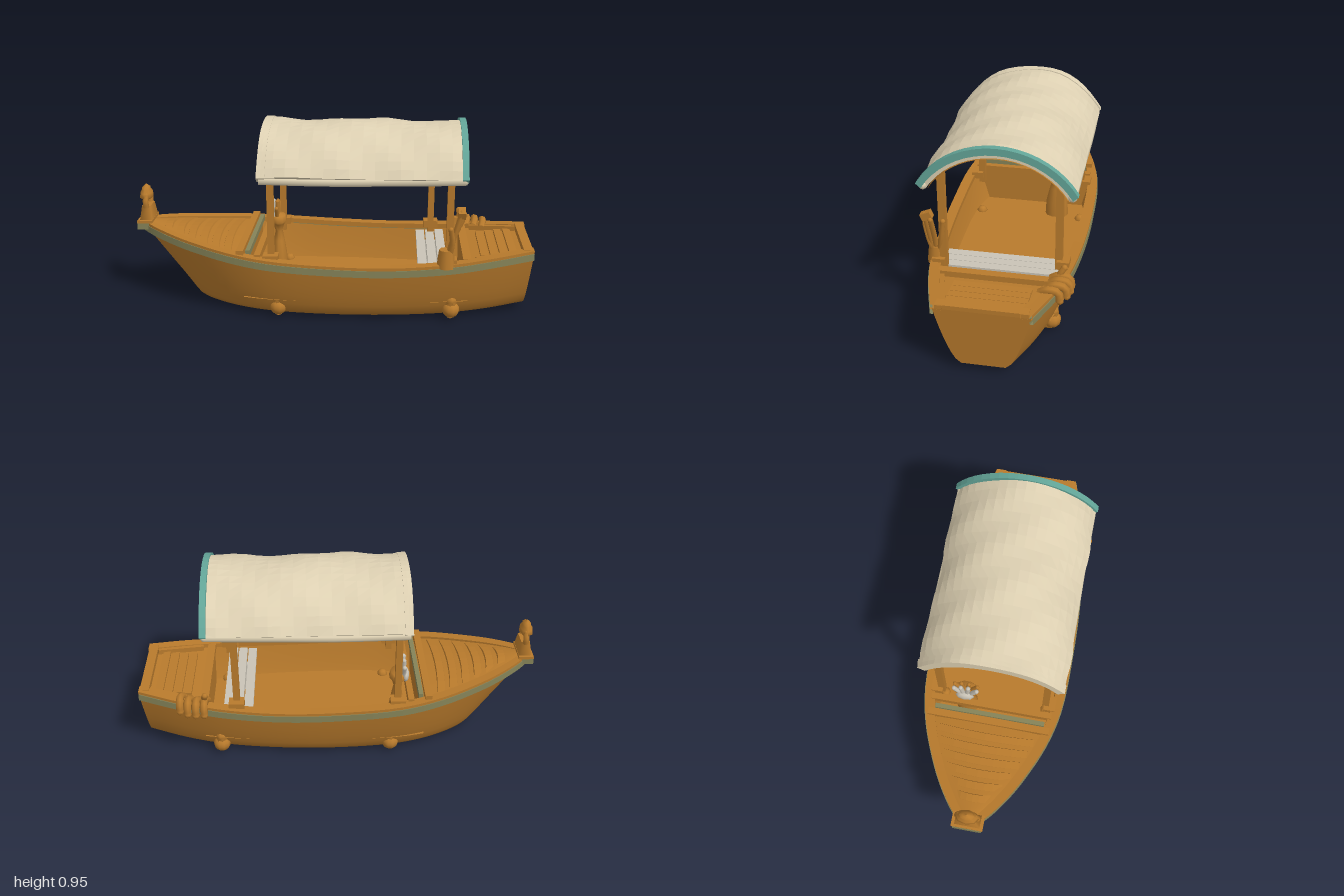
import * as THREE from 'three';

const mat = (name, color) => new THREE.MeshStandardMaterial({ name, color, side: THREE.DoubleSide });

// Surface through rows of points; flat gives faceted shading
function loft(rows, { closed = false, flat = false } = {}) {
  const n = rows[0].length, pos = rows.flat(2), idx = [];
  for (let i = 0; i < rows.length - 1; i++) {
    for (let j = 0; j < (closed ? n : n - 1); j++) {
      const a = i * n + j, b = i * n + (j + 1) % n, c = a + n, d = b + n;
      idx.push(a, c, b, b, c, d);
    }
  }
  let g = new THREE.BufferGeometry();
  g.setAttribute('position', new THREE.Float32BufferAttribute(pos, 3));
  g.setIndex(idx);
  if (flat) g = g.toNonIndexed();
  g.computeVertexNormals();
  return g;
}

// Hull stations: sheer x, y, half width, then bottom x, y, half width
const STATIONS = [
  [-.965, .39, .03, -.71, .045, .01],
  [-.9, .38, .09, -.68, .035, .06],
  [-.8, .365, .16, -.64, .03, .1],
  [-.7, .35, .215, -.58, .025, .14],
  [-.5, .325, .3, -.45, .02, .2],
  [-.3, .305, .347, -.28, .018, .245],
  [0, .288, .358, 0, .016, .265],
  [.3, .283, .35, .3, .016, .255],
  [.6, .298, .32, .58, .02, .22],
  [.8, .318, .275, .78, .028, .17],
  [.995, .338, .215, .972, .04, .1],
];
const line = (k) => new THREE.CatmullRomCurve3(STATIONS.map((s) => new THREE.Vector3(s[k], s[k + 1], s[k + 2]))).getPoints;
const sample = (k) => {
  const c = new THREE.CatmullRomCurve3(STATIONS.map((s) => new THREE.Vector3(s[k], s[k + 1], s[k + 2])));
  return Array.from({ length: 41 }, (_, i) => c.getPoint(i / 40));
};

export function createModel() {
  const boat = new THREE.Group();
  boat.name = 'canopyBoat';
  const wood = mat('warmWood', 0xb87a2c), cream = mat('creamCloth', 0xddd0b2), teal = mat('tealTrim', 0x63a598);
  const olive = mat('oliveTrim', 0x858358), pale = mat('paleWood', 0xc9c3b6);

  const add = (name, geo, m, x = 0, y = 0, z = 0) => {
    const mesh = new THREE.Mesh(geo, m);
    mesh.name = name;
    mesh.position.set(x, y, z);
    boat.add(mesh);
    return mesh;
  };
  const box = (name, m, w, h, d, x, y, z) => add(name, new THREE.BoxGeometry(w, h, d), m, x, y, z);
  const limb = (name, m, r, ...pts) => {
    const curve = new THREE.CatmullRomCurve3(pts.map((p) => new THREE.Vector3(...p)));
    add(name, new THREE.TubeGeometry(curve, 8, r, 7), m);
    add(name + 'Tip', new THREE.SphereGeometry(r, 7, 5), m, ...pts[pts.length - 1]);
  };

  // Hull
  const sheer = sample(0), base = sample(3);
  const side = (i, v, sign) => {
    const s = sheer[i], b = base[i];
    return [b.x + (s.x - b.x) * v, b.y + (s.y - b.y) * v, sign * (b.z + (s.z - b.z) * v ** .6)];
  };
  const levels = [1, .8, .6, .4, .22, .08, 0];
  const ring = (i) => [...levels.map((v) => side(i, v, 1)), ...levels.slice().reverse().map((v) => side(i, v, -1))];
  add('hull', loft(sheer.map((_, i) => ring(i))), wood);
  const endPlate = (i) => loft([levels.map((v) => side(i, v, 1)), levels.map((v) => side(i, v, -1))], { flat: true });
  add('transom', endPlate(40), wood);
  add('stem', endPlate(0), wood);

  // Gunwale with its coloured outer strip, both sides
  const band = (s, sign, z0, z1, y0, y1) => [[z0, y0], [z1, y0], [z1, y1], [z0, y1]]
    .map(([z, y]) => [s.x, s.y + y, sign * Math.max(0, s.z + z)]);
  for (const sign of [1, -1]) {
    add('gunwale', loft(sheer.map((s) => band(s, sign, -.045, .006, -.006, .018)), { closed: true, flat: true }), wood);
    add('rubStrip', loft(sheer.map((s) => band(s, sign, -.005, .01, -.03, .004)), { closed: true, flat: true }), olive);
  }

  // Sheer values at any x
  const at = (x) => {
    const i = Math.max(1, sheer.findIndex((s) => s.x >= x));
    const a = sheer[i - 1], b = sheer[i];
    return a.clone().lerp(b, (x - a.x) / (b.x - a.x));
  };
  const range = (a, b, n) => Array.from({ length: n + 1 }, (_, i) => a + (b - a) * i / n);

  // Decks, bulkheads and cockpit floor
  const deck = (name, a, b, dy, crown) => add(name, loft(range(a, b, 14).map((x) => {
    const s = at(x);
    return range(-1, 1, 6).map((t) => [x, s.y + dy + crown * (1 - t * t), t * (s.z - .01)]);
  })), wood);
  deck('foreDeck', -.955, -.4, .002, .018);
  deck('aftDeck', .66, .99, -.012, 0);
  for (const x of [-.4, .66]) {
    const s = at(x);
    add('bulkhead', loft([[[x, s.y, s.z - .01], [x, s.y, .01 - s.z]], [[x, .09, s.z - .07], [x, .09, .07 - s.z]]]), wood);
  }
  add('cockpitFloor', loft(range(-.42, .68, 14).map((x) => [[x, .1, at(x).z - .05], [x, .1, .05 - at(x).z]])), wood);

  // Foredeck planks, curved slightly toward the bow
  for (const x of range(-.82, -.5, 5)) {
    const s = at(x), w = s.z - .055;
    add('forePlank', loft([-.022, -.018, .018, .022].map((o, k) => range(-1, 1, 6).map((t) =>
      [x + o - .015 * (1 - t * t), s.y + .018 * (1 - t * t) + (k % 3 ? .009 : .001), t * w])), { flat: true }), wood);
  }
  // Cross beams at the cockpit ends
  box('foreBeam', wood, .035, .035, .62, -.43, .338, 0);
  box('foreBeamTrim', olive, .022, .03, .56, -.395, .333, 0);
  box('innerBeam', wood, .03, .04, .62, -.345, .318, 0);
  box('aftBeam', wood, .04, .03, .54, .67, .308, 0);
  box('transomBeam', wood, .045, .03, .41, .968, .34, 0);
  for (const x of range(.76, .9, 3)) box('aftPlank', wood, .038, .014, .36, x, at(x).y - .006, 0);
  for (const s of [1, -1]) {
    const edge = box('aftDeckEdge', wood, .24, .026, .022, .83, .322, s * .21);
    edge.rotation.set(0, s * .27, .09);
  }

  // Bench
  for (const x of [.455, .505, .555]) box('benchPlank', pale, .044, .02, .56, x, .268 + (x - .455) * .05, 0);
  for (const z of [-.16, .16]) box('benchLeg', pale, .09, .16, .025, .505, .18, z);

  // Cross logs under the hull with rounded ends
  for (const x of [-.25, .6]) {
    const z = x < 0 ? .265 : .25;
    add('crossLog', new THREE.CylinderGeometry(.022, .022, 2 * z, 8).rotateX(Math.PI / 2), wood, x, .024, 0);
    for (const s of [1, -1]) {
      add('logEnd', new THREE.SphereGeometry(.043, 10, 8).scale(1, .95, 1), wood, x, .052, s * z);
      limb('logBrace', wood, .028, [x, .05, s * z], [x, .1, s * (z + .005)]);
    }
  }

  // Canopy posts with small feet
  for (const [x, z, top] of [[-.28, .27, .8], [-.28, -.27, .8], [.58, .265, .81], [.51, -.265, .81]]) {
    box('post', wood, .032, top - .27, .034, x, (top + .27) / 2, z);
    box('postFoot', wood, .075, .035, .06, x, .318, z * 1.08);
  }

  // Arched canopy: outer cloth, wooden underside, rims
  const angles = range(-1.02, 1.02, 18);
  const lump = (x, a) => .006 * Math.sin(11 * x + 3 * a) + .004 * Math.sin(23 * x - 7 * a);
  const arc = (x, r, cy, bumpy) => angles.map((a) => {
    const q = r + (bumpy ? lump(x, a) : 0);
    return [x, cy + q * Math.cos(a), q * Math.sin(a)];
  });
  const arch = (name, m, x0, x1, ro, ri, n, bumpy, cy = .524) => {
    const rows = range(x0, x1, n).map((x) => [...arc(x, ro, cy, bumpy), ...arc(x, ri, cy - .006, false).reverse()]);
    add(name, loft(rows, { closed: true, flat: true }), m);
    for (const x of [x0, x1]) add(name + 'End', loft([arc(x, ro, cy, bumpy), arc(x, ri, cy - .006, false)], { flat: true }), m);
  };
  arch('canopyCloth', cream, -.32, .64, .411, .378, 16, true);
  arch('canopyForeHem', cream, -.336, -.295, .42, .374, 2, true, .518);
  arch('canopyAftRim', teal, .625, .655, .426, .398, 1, false);
  add('canopyUnderside', loft([-.33, .15, .635].map((x) => arc(x, .371, .518, false))), wood);
  for (const s of [1, -1]) {
    limb('canopySideHem', cream, .02, [-.325, .718, s * .33], [0, .716, s * .334], [.3, .722, s * .332], [.635, .732, s * .335]);
  }

  // Lantern on the bow
  box('bowPlate', olive, .06, .04, .14, -.96, .39, 0);
  box('bowCap', wood, .075, .014, .155, -.95, .412, 0);
  const four = (rt, rb, h) => new THREE.CylinderGeometry(rt, rb, h, 4).rotateY(Math.PI / 4);
  add('lanternBase', four(.062, .088, .07).scale(.5, 1, 1), wood, -.945, .453, 0);
  for (const s of [1, -1]) limb('lanternPillar', wood, .015, [-.945, .48, s * .045], [-.945, .51, s * .049], [-.945, .54, s * .038]);
  const roof = [[.04, .518], [.058, .53], [.052, .55], [.036, .566], [.036, .575], [.02, .583], [0, .595]];
  add('lanternRoof', new THREE.LatheGeometry(roof.map((p) => new THREE.Vector2(...p)), 8).scale(.6, 1, 1), wood, -.95, 0, 0);
  add('lanternRoofFloor', new THREE.CylinderGeometry(.04, .04, .006, 8).scale(.6, 1, 1), wood, -.95, .521, 0);

  // Branching stand in the cockpit, pale on its bow side
  const stand = [[.062, .1], [.058, .18], [.04, .26], [.026, .31], [.045, .35], [.062, .365], [.05, .395], [0, .405]];
  add('standBody', new THREE.LatheGeometry(stand.map((p) => new THREE.Vector2(...p)), 10).scale(.7, 1, 1), wood, -.29, 0, -.14);
  for (const [m, x, r] of [[wood, -.295, .011], [pale, -.318, .012]]) {
    for (const [dz, y] of [[-.055, .445], [-.02, .465], [.018, .47], [.06, .445]]) {
      limb('standBranch', m, r, [x, .37, -.14 + dz * .4], [x, .41, -.14 + dz * .65], [x, y, -.14 + dz]);
    }
  }
  add('standPaleFace', new THREE.SphereGeometry(.04, 8, 6).scale(.5, .9, 1.2), pale, -.328, .375, -.14);

  // Bundle of sticks by the left aft post
  for (const [x, y, z] of [[.63, .58, .335], [.645, .56, .305], [.6, .53, .26], [.58, .5, .35]]) {
    limb('stick', wood, .013, [.565, .3, .3], [.59, .42, .3 + (z - .3) * .6], [x, y, z]);
  }
  box('stickBlade', wood, .035, .035, .05, .63, .575, .325).rotation.x = .4;
  add('stickHolder', new THREE.CylinderGeometry(.035, .045, .09, 8), wood, .565, .34, .305);

  // Knobbly grips curled over the right aft rail
  for (const [x, z] of [[.665, -.335], [.705, -.335], [.745, -.325], [.785, -.3]]) {
    limb('railGrip', wood, .019, [x - .01, .32, z + .085], [x, .345, z + .045], [x, .335, z], [x, .295, z - .008]);
  }
  limb('railGripThumb', wood, .015, [.66, .32, -.27], [.665, .36, -.295], [.66, .385, -.31]);
  return boat;
}
